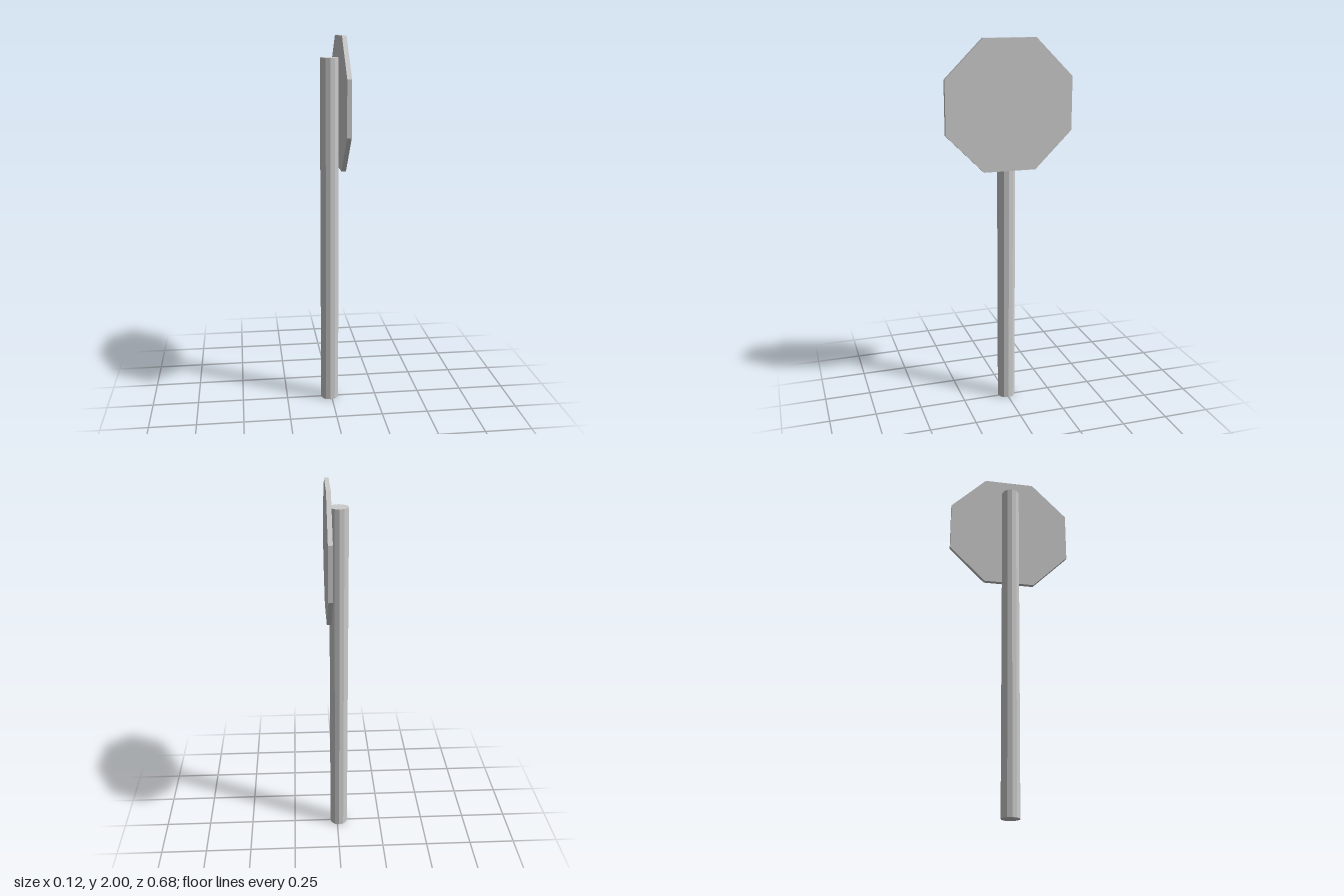
import * as THREE from 'three';

const POLE_HEIGHT = 1.89;
const POLE_RADIUS = 0.049;
const PLATE_APOTHEM = 0.338;
const PLATE_THICKNESS = 0.023;

export function createModel() {
  const model = new THREE.Group();
  model.name = 'roadSign';
  const material = new THREE.MeshStandardMaterial({ color: 0xcccccc, flatShading: true });

  // Twelve-sided upright post
  const pole = new THREE.Mesh(
    new THREE.CylinderGeometry(POLE_RADIUS, POLE_RADIUS, POLE_HEIGHT, 12),
    material
  );
  pole.name = 'pole';
  pole.position.set(-0.01, POLE_HEIGHT / 2, 0);
  model.add(pole);

  // Octagonal plate facing +x, turned half a side so its edges lie flat
  const plateRadius = PLATE_APOTHEM / Math.cos(Math.PI / 8);
  const plateGeometry = new THREE.CylinderGeometry(
    plateRadius, plateRadius, PLATE_THICKNESS, 8, 1, false, Math.PI / 8
  );
  plateGeometry.rotateZ(-Math.PI / 2);
  const plate = new THREE.Mesh(plateGeometry, material);
  plate.name = 'signPlate';
  plate.position.set(0.047, 2 - PLATE_APOTHEM, 0);
  model.add(plate);

  return model;
}
